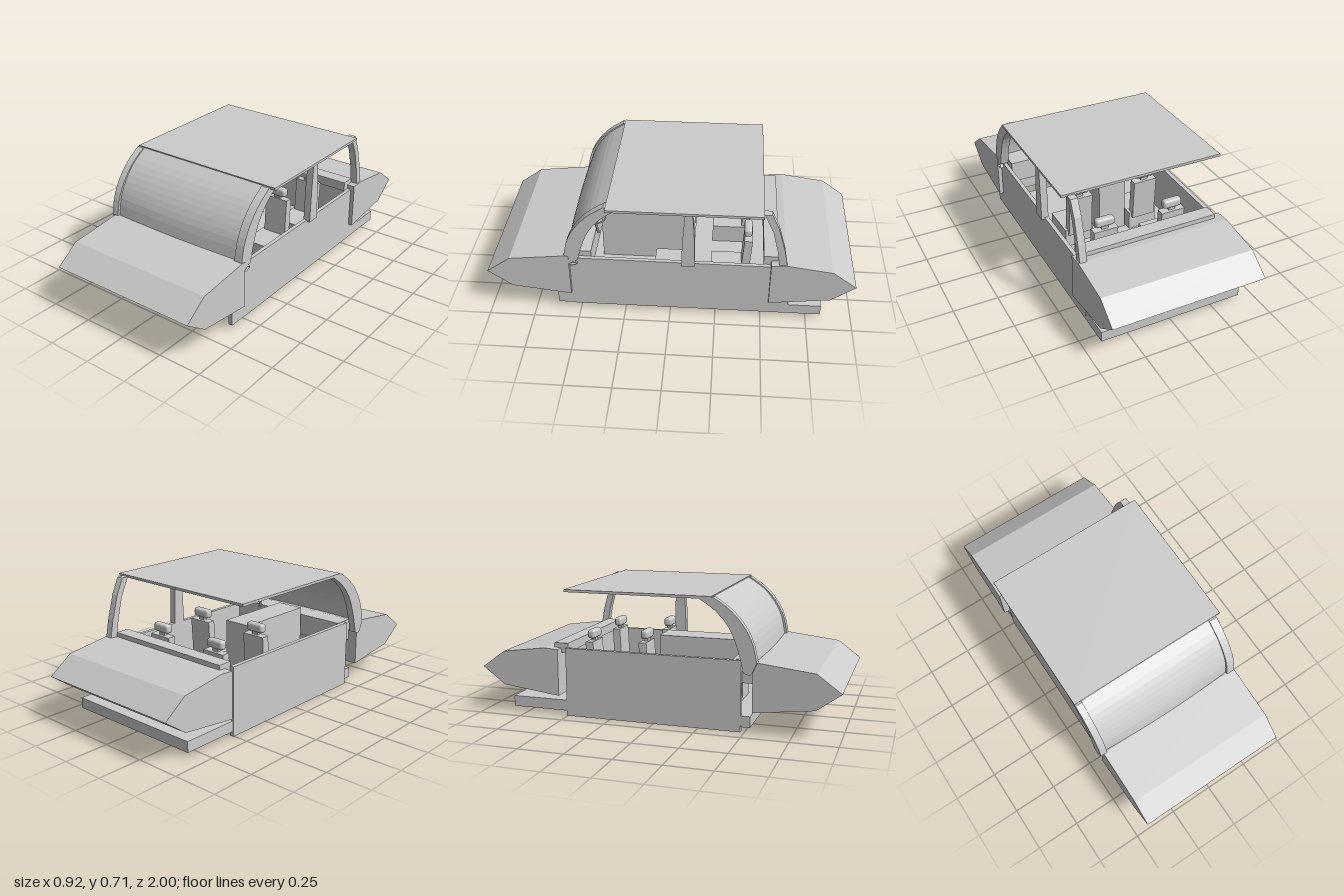
import * as THREE from 'three';
import { RoundedBoxGeometry } from 'three/addons/geometries/RoundedBoxGeometry.js';

export function createModel() {
  const car = new THREE.Group();
  car.name = 'car';
  const mat = new THREE.MeshStandardMaterial({ color: 0xcccccc, flatShading: true, side: THREE.DoubleSide });

  function add(name, geometry, parent = car) {
    const mesh = new THREE.Mesh(geometry, mat);
    mesh.name = name;
    parent.add(mesh);
    return mesh;
  }

  // Box given by its limits on each axis
  function box(name, [x0, x1], [y0, y1], [z0, z1], parent = car, round = 0) {
    const size = [x1 - x0, y1 - y0, z1 - z0];
    const geo = round ? new RoundedBoxGeometry(...size, 2, round) : new THREE.BoxGeometry(...size);
    const mesh = add(name, geo, parent);
    mesh.position.set((x0 + x1) / 2, (y0 + y1) / 2, (z0 + z1) / 2);
    return mesh;
  }

  // Side profile of [z, y] points swept across the width x0..x1
  function profile(name, points, x0, x1) {
    const shape = new THREE.Shape(points.map(([z, y]) => new THREE.Vector2(-z, y)));
    const geo = new THREE.ExtrudeGeometry(shape, { depth: x1 - x0, bevelEnabled: false });
    geo.rotateY(Math.PI / 2);
    geo.translate(x0, 0, 0);
    return add(name, geo);
  }

  const curve = (pts, n) => new THREE.SplineCurve(pts.map(p => new THREE.Vector2(...p)))
    .getPoints(n).map(p => [p.x, p.y]);

  // Wedge-shaped front and rear bodies
  profile('frontBody', [[0.545, 0.12], [0.87, 0.16], [1, 0.255], [0.87, 0.35], [0.565, 0.385], [0.545, 0.38]], -0.44, 0.435);
  profile('rearBody', [[-0.54, 0.12], [-0.87, 0.16], [-1, 0.255], [-0.87, 0.35], [-0.62, 0.385], [-0.54, 0.38]], -0.44, 0.435);

  // Floor, side panels and roof
  box('floor', [-0.41, 0.41], [0.03, 0.09], [-0.83, 0.53]);
  box('leftSidePanel', [0.39, 0.412], [0.035, 0.355], [-0.65, 0.625]);
  box('rightSidePanel', [-0.415, -0.39], [0.003, 0.385], [-0.505, 0.48]);
  box('roof', [-0.46, 0.46], [0.702, 0.716], [-0.485, 0.33]);

  // Windscreen: curved sheet, bowed slightly forward in the middle
  const screenLine = [[0.555, 0.375], [0.535, 0.48], [0.49, 0.57], [0.42, 0.65], [0.33, 0.71]];
  const line = curve(screenLine, 12);
  const screen = new THREE.PlaneGeometry(0.84, 1, 14, line.length - 1);
  const pos = screen.attributes.position;
  for (let i = 0; i < pos.count; i++) {
    const x = pos.getX(i);
    const [z, y] = line[Math.round((pos.getY(i) + 0.5) * (line.length - 1))];
    pos.setXYZ(i, x - 0.01, y, z + 0.015 * (1 - (x / 0.42) ** 2) * (0.71 - y) / 0.335);
  }
  screen.computeVertexNormals();
  add('windscreen', screen);

  // Curved windscreen pillars
  const outer = curve([[0.57, 0.385], [0.545, 0.49], [0.495, 0.58], [0.425, 0.655], [0.34, 0.712]], 10);
  const inner = curve([[0.26, 0.705], [0.35, 0.645], [0.42, 0.565], [0.465, 0.465], [0.495, 0.36]], 10);
  const foot = [[0.545, 0.33], [0.535, 0.32], [0.5, 0.33]];
  for (const [name, x0, x1] of [['rightFrontPillar', -0.46, -0.42], ['leftFrontPillar', 0.385, 0.432]])
    profile(name, [...outer, ...inner, ...foot.reverse()], x0, x1);

  // Middle and rear pillars on the left
  profile('middlePillar', [[-0.06, 0.345], [-0.068, 0.53], [-0.08, 0.69], [-0.085, 0.707],
    [-0.113, 0.707], [-0.12, 0.69], [-0.13, 0.53], [-0.135, 0.345]], 0.39, 0.43);
  profile('rearPillar', [[-0.585, 0.36], [-0.565, 0.48], [-0.535, 0.6], [-0.485, 0.707],
    [-0.525, 0.707], [-0.565, 0.62], [-0.605, 0.48], [-0.628, 0.36]], 0.388, 0.428);

  // Cabin: shelf, dashboard and centre console
  box('rearShelf', [-0.39, 0.39], [0.355, 0.408], [-0.58, -0.5]);
  box('dashboard', [-0.385, 0.385], [0.26, 0.385], [0.43, 0.545]);
  box('centreConsole', [-0.12, 0.045], [0.09, 0.43], [-0.06, 0.42]);
  box('rearViewMirror', [-0.06, 0.03], [0.632, 0.67], [0.257, 0.263]);

  // Seats with cushion, back and headrest
  function seat(name, x, z, top) {
    const g = new THREE.Group();
    g.name = name;
    car.add(g);
    box('seatCushion', [x - 0.085, x + 0.085], [0.09, 0.2], [z, z + 0.2], g);
    const back = box('seatBack', [x - 0.07, x + 0.07], [0.17, top - 0.065], [z - 0.02, z + 0.025], g);
    back.rotation.x = -0.06;
    box('headrestStem', [x - 0.02, x + 0.02], [top - 0.08, top - 0.045], [z - 0.012, z + 0.012], g);
    box('headrest', [x - 0.055, x + 0.055], [top - 0.05, top], [z - 0.022, z + 0.022], g, 0.015);
  }
  for (const x of [-0.215, 0.19]) {
    seat('frontSeat', x, -0.1, 0.48);
    seat('rearSeat', x, -0.415, 0.465);
  }

  // Steering wheel on its column
  const wheel = add('steeringWheel', new THREE.TorusGeometry(0.045, 0.004, 6, 20));
  wheel.position.set(0.2, 0.467, 0.415);
  wheel.rotation.x = Math.PI / 2 + 0.2;
  const column = add('steeringColumn', new THREE.CylinderGeometry(0.008, 0.008, 0.1, 8));
  column.position.set(0.2, 0.42, 0.425);
  column.rotation.x = 0.2;

  return car;
}
